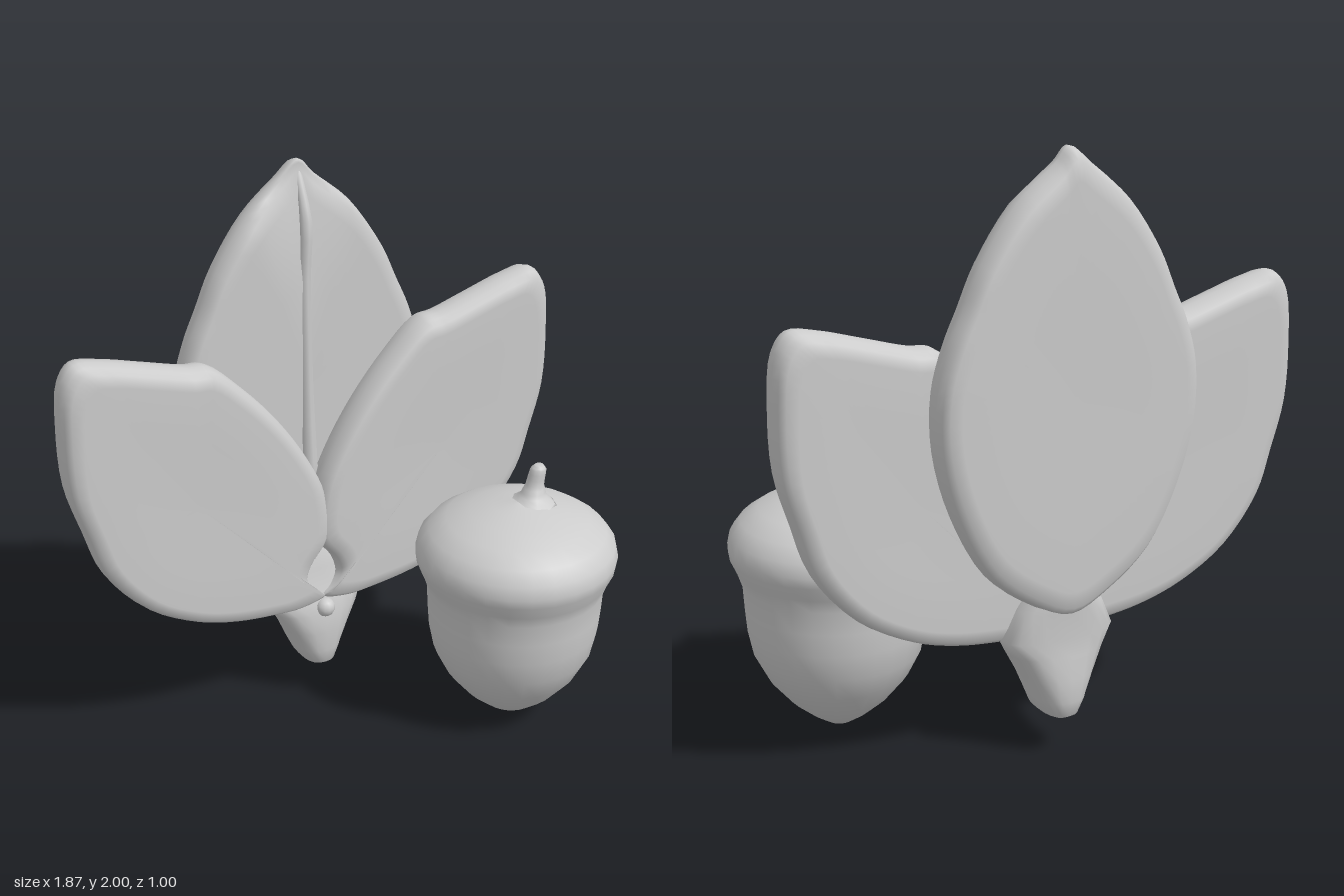
import * as THREE from 'three';

const clay = new THREE.MeshStandardMaterial({ color: 0xcccccc });
clay.name = 'pale grey clay';

function mesh(name, geometry) {
  const m = new THREE.Mesh(geometry, clay);
  m.name = name;
  return m;
}

const mirror = (pts) => pts.map(([x, y]) => [-x, y]).reverse();

// Closed surface through equal-sized loops of points, capped at both ends
function loft(loops) {
  const n = loops[0].length, pos = [], idx = [];
  loops.forEach((loop) => loop.forEach((p) => pos.push(p.x, p.y, p.z)));
  for (let i = 0; i < loops.length - 1; i++) {
    for (let j = 0; j < n; j++) {
      const a = i * n + j, b = i * n + (j + 1) % n;
      idx.push(a, b, a + n, b, b + n, a + n);
    }
  }
  [0, loops.length - 1].forEach((i) => {
    const c = new THREE.Vector3();
    loops[i].forEach((p) => c.addScaledVector(p, 1 / n));
    const k = pos.length / 3;
    pos.push(c.x, c.y, c.z);
    for (let j = 0; j < n; j++) {
      const a = i * n + j, b = i * n + (j + 1) % n;
      if (i === 0) idx.push(k, b, a); else idx.push(k, a, b);
    }
  });
  const g = new THREE.BufferGeometry();
  g.setAttribute('position', new THREE.Float32BufferAttribute(pos, 3));
  g.setIndex(idx);
  g.computeVertexNormals();
  return g;
}

// Thick leaf with a rounded rim: the outline is shrunk towards a centre
function leafSlab(outline, [cx, cy], back, front, bend = (x, y, z) => z) {
  const curve = new THREE.CatmullRomCurve3(
    outline.map(([x, y]) => new THREE.Vector3(x, y, 0)), true, 'centripetal');
  const edge = curve.getPoints(outline.length * 4).slice(0, -1);
  const mid = (back + front) / 2, half = (front - back) / 2;
  // Each ring: size of the outline, height across the thickness
  const rings = [[0.05, -0.93], [0.5, -0.96], [0.87, -1], [0.95, -0.9], [0.985, -0.6], [1, -0.15],
    [1, 0.2], [0.985, 0.6], [0.95, 0.9], [0.87, 1], [0.5, 0.94], [0.05, 0.9]];
  return loft(rings.map(([s, h]) => edge.map((p) => {
    const x = cx + (p.x - cx) * s, y = cy + (p.y - cy) * s;
    return new THREE.Vector3(x, y, bend(x, y, mid + h * half));
  })));
}

// Tube along points with a radius for each point
function taperedTube(points, radii, sides = 10) {
  const curve = new THREE.CatmullRomCurve3(points.map((p) => new THREE.Vector3(...p)));
  const steps = 12;
  const loops = [];
  for (let i = 0; i <= steps; i++) {
    const t = i / steps, f = t * (radii.length - 1);
    const k = Math.min(Math.floor(f), radii.length - 2);
    const r = THREE.MathUtils.lerp(radii[k], radii[k + 1], f - k);
    const c = curve.getPoint(t);
    loops.push(Array.from({ length: sides }, (_, j) => {
      const a = -j / sides * Math.PI * 2;
      return new THREE.Vector3(c.x + Math.cos(a) * r, c.y, c.z + Math.sin(a) * r);
    }));
  }
  return loft(loops);
}

function createLeaf() {
  const leaf = new THREE.Group();
  leaf.name = 'leaf';

  // Middle lobe, set behind the side lobes and thinning towards its tip
  const halfOutline = [[0.14, 0.56], [0.29, 0.68], [0.4, 0.88], [0.46, 1.1], [0.46, 1.29],
    [0.42, 1.43], [0.37, 1.54], [0.31, 1.67], [0.19, 1.84], [0.06, 1.95]];
  const middle = [[0, 0.5], ...halfOutline, [0.01, 2], ...mirror(halfOutline)];
  const thinTip = (x, y, z) => Math.min(z, -0.36 - 0.06 * THREE.MathUtils.smoothstep(y, 1.74, 1.98));
  leaf.add(mesh('middleLobe', leafSlab(middle, [0, 1.22], -0.5, -0.355, thinTip)));
  leaf.add(mesh('middleVein', taperedTube(
    [[0, 0.8, -0.35], [0, 1.2, -0.368], [0, 1.6, -0.372], [0.01, 1.8, -0.378], [0.01, 1.96, -0.43]],
    [0.03, 0.022, 0.02, 0.022, 0.012], 8)));

  // Side lobes, leaving a small hollow between them above the stalk
  const side = [[-0.01, 0.42], [0.09, 0.395], [0.2, 0.4], [0.35, 0.42], [0.5, 0.465], [0.68, 0.57],
    [0.82, 0.74], [0.875, 0.9], [0.925, 1.08], [0.932, 1.3], [0.915, 1.45], [0.87, 1.51],
    [0.78, 1.5], [0.62, 1.455], [0.48, 1.415], [0.41, 1.405], [0.29, 1.3], [0.16, 1.15],
    [0.05, 0.98], [-0.01, 0.84], [-0.02, 0.66], [0.05, 0.56], [0.065, 0.5], [0.03, 0.45]];
  leaf.add(mesh('leftLobe', leafSlab(side, [0.48, 0.92], -0.375, -0.23)));
  leaf.add(mesh('rightLobe', leafSlab(mirror(side), [-0.48, 0.92], -0.375, -0.23)));

  // Flared stalk: height, half width, back and front
  const sections = [[0.13, 0.035, -0.44, -0.28], [0.145, 0.06, -0.465, -0.255], [0.2, 0.085, -0.48, -0.245],
    [0.28, 0.12, -0.48, -0.24], [0.36, 0.165, -0.47, -0.245], [0.42, 0.2, -0.465, -0.265],
    [0.52, 0.15, -0.47, -0.3], [0.64, 0.06, -0.48, -0.31]];
  leaf.add(mesh('stalk', loft(sections.map(([y, w, back, front]) =>
    Array.from({ length: 20 }, (_, j) => {
      const a = -j / 20 * Math.PI * 2, c = Math.cos(a), s = Math.sin(a);
      return new THREE.Vector3(w * Math.sign(c) * Math.abs(c) ** 0.8, y,
        (back + front) / 2 + (front - back) / 2 * Math.sign(s) * Math.abs(s) ** 0.7);
    })))));

  // Small bud below the hollow
  const bud = mesh('bud', new THREE.SphereGeometry(0.036, 12, 8));
  bud.position.set(0, 0.38, -0.258);
  leaf.add(bud);
  return leaf;
}

function createAcorn() {
  const acorn = new THREE.Group();
  acorn.name = 'acorn';
  acorn.position.set(0.545, 0, 0.145);

  // Nut and cap turned from one profile
  const profile = [[0, 0], [0.045, 0.008], [0.1, 0.045], [0.17, 0.105], [0.24, 0.19], [0.285, 0.28],
    [0.303, 0.37], [0.309, 0.45], [0.313, 0.53], [0.328, 0.575], [0.35, 0.625], [0.355, 0.66],
    [0.345, 0.705], [0.31, 0.75], [0.25, 0.79], [0.17, 0.818], [0.09, 0.838], [0, 0.85]];
  acorn.add(mesh('nutAndCap', new THREE.LatheGeometry(
    profile.map(([x, y]) => new THREE.Vector2(x, y)), 28)));

  // Leaning stem
  acorn.add(mesh('acornStem', taperedTube(
    [[0.05, 0.82, 0], [0.06, 0.86, 0], [0.07, 0.9, -0.005], [0.082, 0.955, -0.005], [0.085, 0.97, -0.005]],
    [0.1, 0.048, 0.032, 0.028, 0.014])));
  return acorn;
}

export function createModel() {
  const model = new THREE.Group();
  model.name = 'leafWithAcorn';
  model.add(createLeaf(), createAcorn());
  return model;
}
